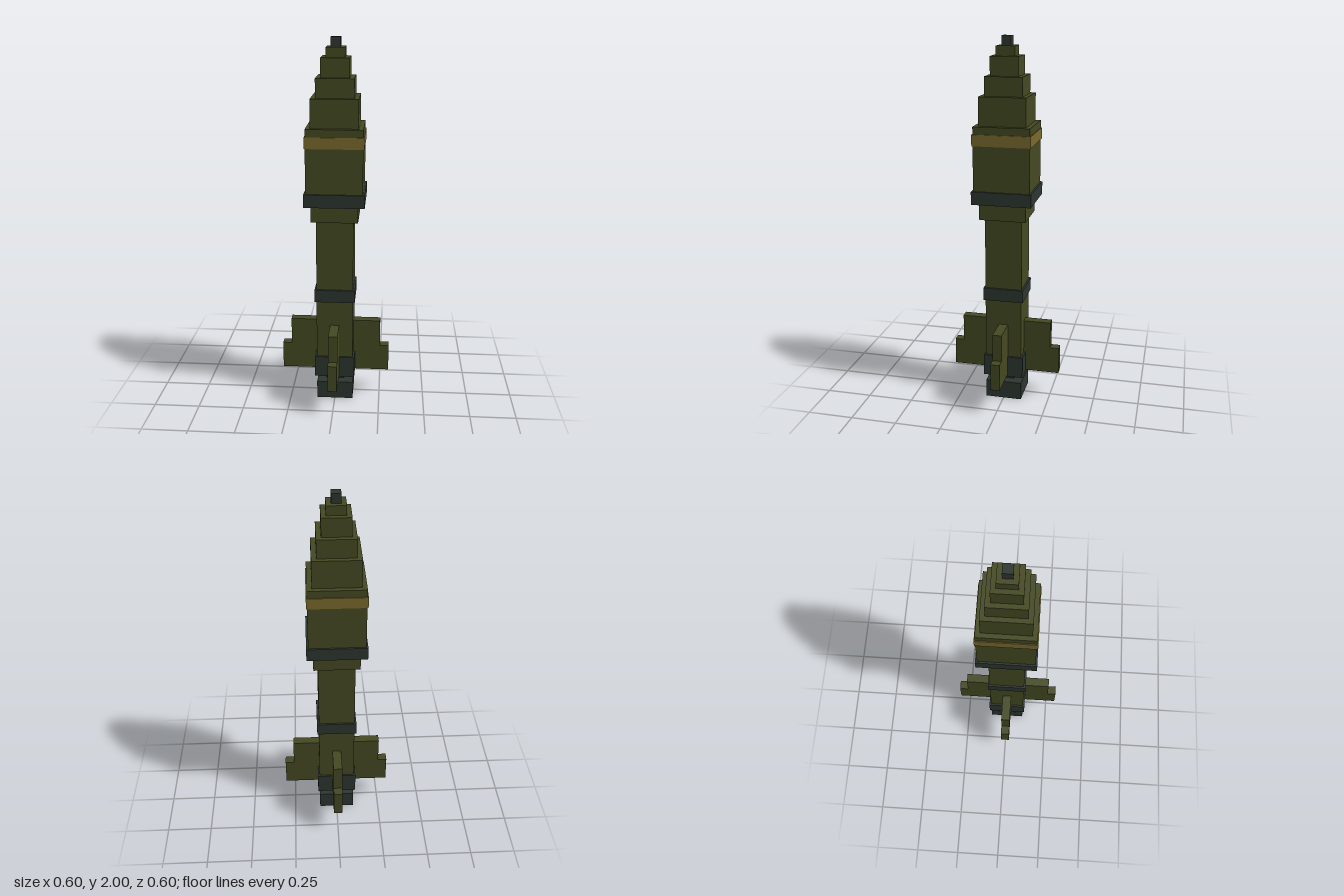
import * as THREE from 'three';

export function createModel() {
  const model = new THREE.Group();
  model.name = 'rocket';

  const material = (name, color) => {
    const m = new THREE.MeshStandardMaterial({ color });
    m.name = name;
    return m;
  };
  const olive = material('olive', 0x444922);
  const darkMetal = material('dark metal', 0x2d3631);
  const gold = material('gold', 0x7a6a2d);

  // Square block centred on the axis, from y0 to y1
  const block = (name, half, y0, y1, mat) => {
    const mesh = new THREE.Mesh(new THREE.BoxGeometry(half * 2, y1 - y0, half * 2), mat);
    mesh.name = name;
    mesh.position.y = (y0 + y1) / 2;
    model.add(mesh);
  };

  // Nozzle and tail
  block('nozzle', 0.1, 0, 0.1, darkMetal);
  block('nozzleNeck', 0.05, 0.1, 0.15, darkMetal);
  block('tailRing', 0.11, 0.14, 0.26, darkMetal);

  // Body and warhead
  block('body', 0.1, 0.15, 1.05, olive);
  block('bodyRing', 0.11, 0.59, 0.66, darkMetal);
  block('shoulder', 0.125, 1.05, 1.15, olive);
  block('warheadRing', 0.16, 1.14, 1.21, darkMetal);
  block('warhead', 0.15, 1.15, 1.55, olive);
  block('warheadStripe', 0.155, 1.45, 1.51, gold);

  // Stepped nose
  [[0.125, 1.55, 1.7], [0.1, 1.7, 1.8], [0.075, 1.8, 1.9], [0.05, 1.9, 1.95]]
    .forEach(([half, y0, y1], i) => block(`noseStep${i + 1}`, half, y0, y1, olive));
  block('noseTip', 0.025, 1.95, 2, darkMetal);

  // Four stepped fins
  for (let i = 0; i < 4; i++) {
    const fin = new THREE.Group();
    fin.name = `fin${i + 1}`;
    const inner = new THREE.Mesh(new THREE.BoxGeometry(0.15, 0.3, 0.05), olive);
    inner.name = 'finRoot';
    inner.position.set(0.175, 0.3, 0);
    const outer = new THREE.Mesh(new THREE.BoxGeometry(0.05, 0.15, 0.05), olive);
    outer.name = 'finTip';
    outer.position.set(0.275, 0.225, 0);
    fin.add(inner, outer);
    fin.rotation.y = (i * Math.PI) / 2;
    model.add(fin);
  }

  return model;
}
